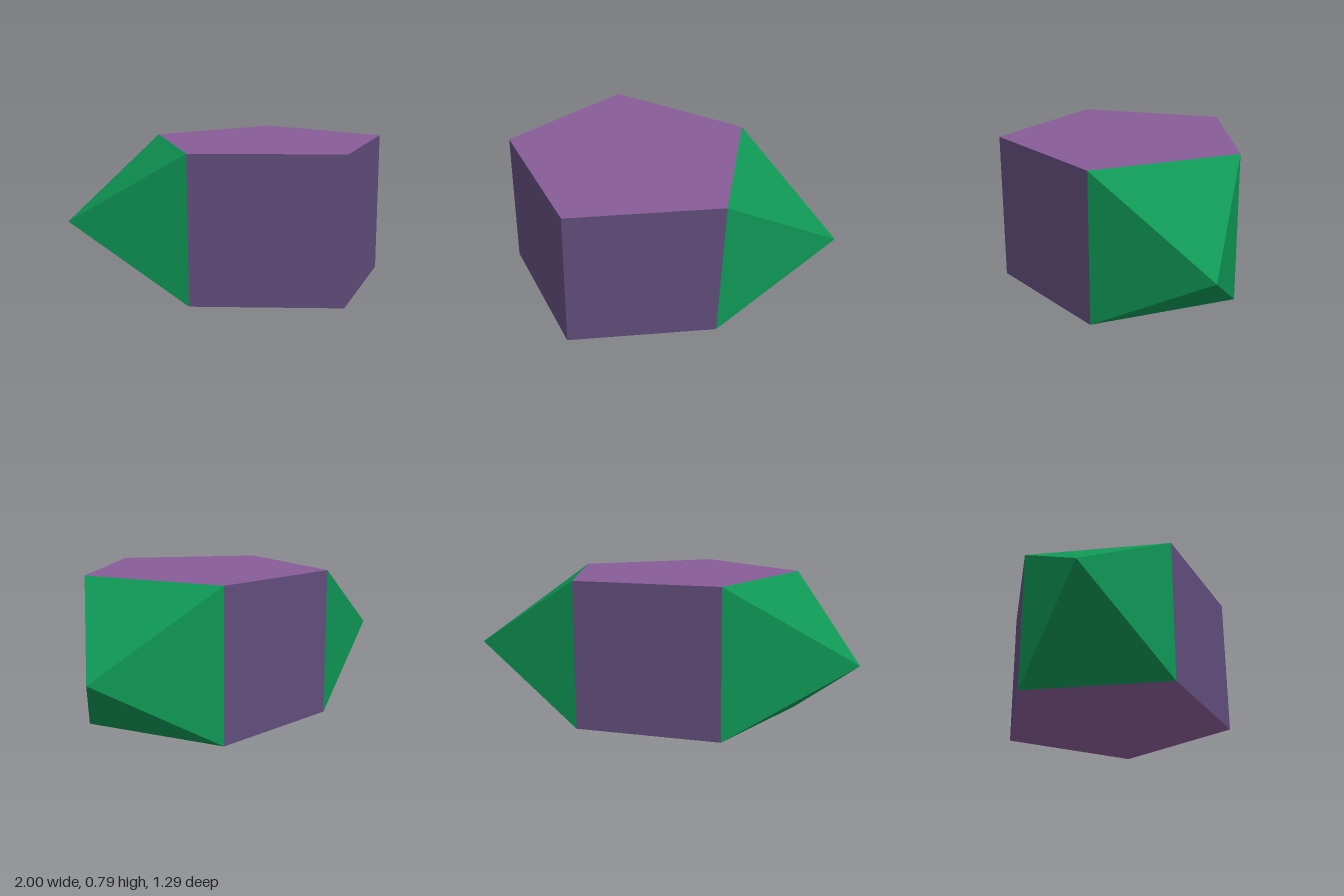
import * as THREE from 'three';

const RADIUS = 0.674, HEIGHT = 0.79, SPIKE = 0.56;
const CENTER_X = 0.103, CENTER_Z = 0.004;

const material = (name, color) => {
  const m = new THREE.MeshStandardMaterial({ color });
  m.name = name;
  return m;
};

// Corner i of the pentagon at height y
function corner(i, y) {
  const a = (i * Math.PI * 2) / 5;
  return new THREE.Vector3(CENTER_X + RADIUS * Math.cos(a), y, CENTER_Z - RADIUS * Math.sin(a));
}

// Flat-shaded mesh from a list of convex polygons, corners counter-clockwise
function polygonMesh(name, polygons, mat) {
  const points = [];
  for (const p of polygons) {
    for (let i = 1; i < p.length - 1; i++) points.push(p[0], p[i], p[i + 1]);
  }
  const geometry = new THREE.BufferGeometry().setFromPoints(points);
  geometry.computeVertexNormals();
  const mesh = new THREE.Mesh(geometry, mat);
  mesh.name = name;
  return mesh;
}

// Outer square of side i
const sideQuad = (i) => [corner(i, 0), corner(i + 1, 0), corner(i + 1, HEIGHT), corner(i, HEIGHT)];

// Four triangles rising from side i to a point
function pyramid(name, i, mat) {
  const quad = sideQuad(i);
  const a = ((i + 0.5) * Math.PI * 2) / 5;
  const reach = RADIUS * Math.cos(Math.PI / 5) + SPIKE;
  const apex = new THREE.Vector3(
    CENTER_X + reach * Math.cos(a), HEIGHT / 2, CENTER_Z - reach * Math.sin(a));
  return polygonMesh(name, quad.map((q, k) => [q, quad[(k + 1) % 4], apex]), mat);
}

export function createModel() {
  const group = new THREE.Group();
  group.name = 'augmentedPentagonalPrism';
  const capPurple = material('capPurple', 0x885d98);
  const sidePurple = material('sidePurple', 0x614d7b);
  const green = material('green', 0x0f9655);
  const indices = [0, 1, 2, 3, 4];

  // Pentagon caps
  group.add(polygonMesh('topCap', [indices.map((i) => corner(i, HEIGHT))], capPurple));
  group.add(polygonMesh('bottomCap', [indices.map((i) => corner(4 - i, 0))], capPurple));

  // Square sides left without a pyramid
  group.add(polygonMesh('squareSides', [1, 3, 4].map(sideQuad), sidePurple));

  // Pyramids on two non-adjacent sides
  group.add(pyramid('backPyramid', 0, green));
  group.add(pyramid('sidePyramid', 2, green));
  return group;
}
